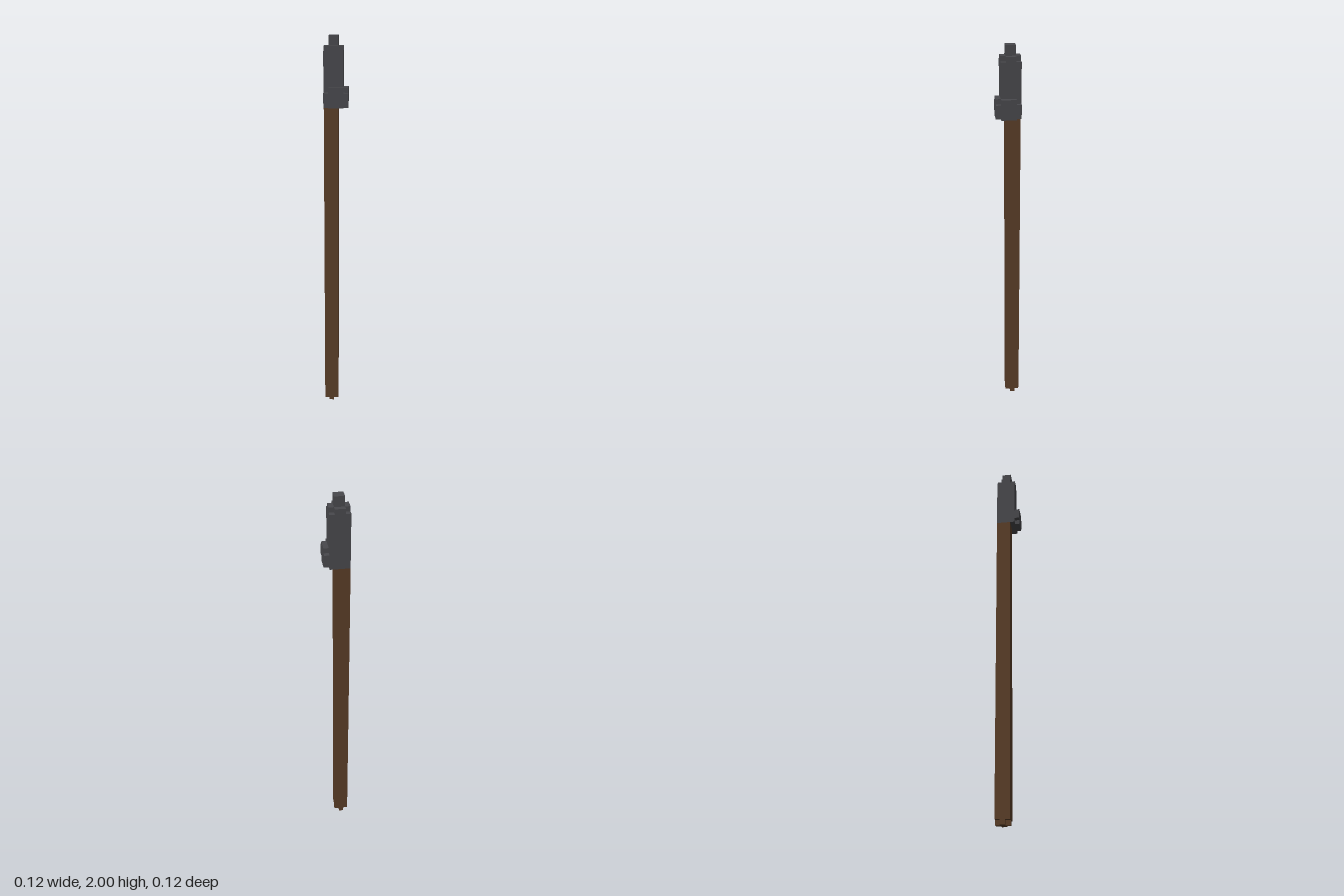
import * as THREE from 'three';

// One voxel edge; the model is 5 x 81 x 5 voxels
const V = 2 / 81;

export function createModel() {
  const model = new THREE.Group();
  model.name = 'spear';

  const wood = new THREE.MeshStandardMaterial({ color: 0x5a3e28 });
  wood.name = 'brown wood';
  const iron = new THREE.MeshStandardMaterial({ color: 0x49494d });
  iron.name = 'dark iron';

  const part = (name) => {
    const group = new THREE.Group();
    group.name = name;
    model.add(group);
    return group;
  };

  // Block spanning voxel indices [x0,x1) [y0,y1) [z0,z1)
  const block = (group, name, material, [x0, x1], [y0, y1], [z0, z1]) => {
    const mesh = new THREE.Mesh(
      new THREE.BoxGeometry((x1 - x0) * V, (y1 - y0) * V, (z1 - z0) * V), material);
    mesh.name = name;
    mesh.position.set(((x0 + x1) / 2 - 2.5) * V, ((y0 + y1) / 2) * V, ((z0 + z1) / 2 - 2.5) * V);
    group.add(mesh);
  };

  // Square layer, n voxels wide, with its four corner voxels left out
  const crossLayer = (group, name, material, n, y) => {
    block(group, name, material, [0, n], [y, y + 1], [1, n - 1]);
    block(group, name, material, [1, n - 1], [y, y + 1], [0, 1]);
    block(group, name, material, [1, n - 1], [y, y + 1], [n - 1, n]);
  };

  // Long shaft with a notched foot
  const shaft = part('shaft');
  crossLayer(shaft, 'shaftFoot', wood, 3, 0);
  block(shaft, 'shaftPole', wood, [0, 3], [1, 67], [0, 3]);

  // Collar with notched corners above and below
  const collar = part('collar');
  crossLayer(collar, 'collarBottom', iron, 5, 67);
  block(collar, 'collarBody', iron, [0, 5], [68, 70], [0, 5]);
  crossLayer(collar, 'collarTop', iron, 5, 70);

  // Blade rising through the collar, stepped shoulder and tip
  const blade = part('blade');
  block(blade, 'bladeBody', iron, [0, 4], [67, 78], [0, 4]);
  crossLayer(blade, 'bladeShoulder', iron, 4, 78);
  block(blade, 'bladeTip', iron, [1, 3], [79, 81], [1, 3]);

  return model;
}
